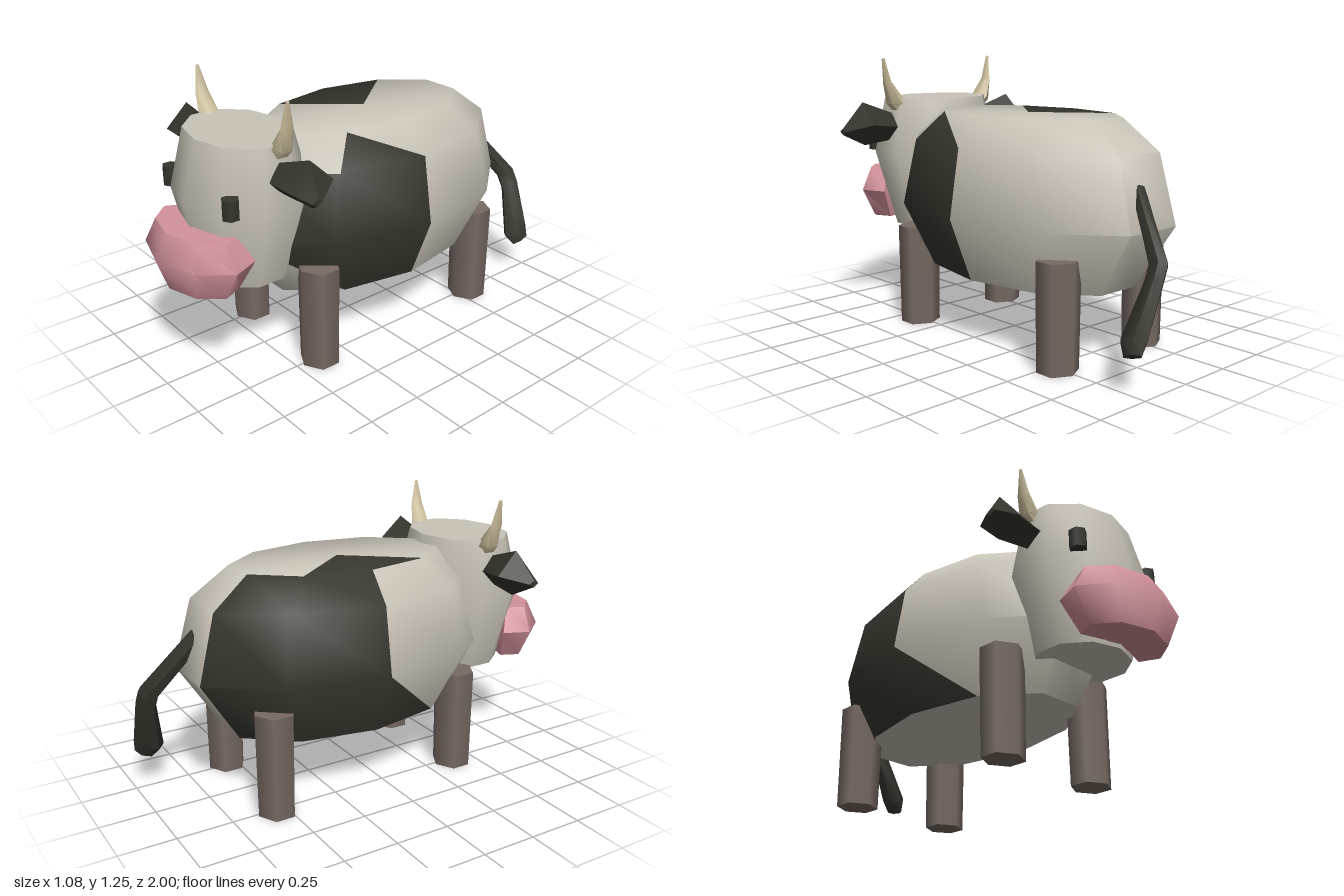
import * as THREE from 'three';
import { toCreasedNormals } from 'three/addons/utils/BufferGeometryUtils.js';

const material = (name, color) => {
  const m = new THREE.MeshStandardMaterial({ color });
  m.name = name;
  return m;
};

// Ring of n corners: centre c, cosine axis u, sine axis v (u x v points along the loft).
function ring(n, c, u, v, offset = 0) {
  return Array.from({ length: n }, (_, k) => {
    const a = offset + (k * 2 * Math.PI) / n;
    return c.map((p, i) => p + u[i] * Math.cos(a) + v[i] * Math.sin(a));
  });
}

// Horizontal ring, radii rx and rz.
const flatRing = (n, y, cz, rx, rz, offset = 0) =>
  ring(n, [0, y, cz], [0, 0, rz], [rx, 0, 0], offset);

const mirrored = rings => rings.map(r => r.map(([x, y, z]) => [-x, y, z]).reverse());

// Skin closed rings and cap both ends; triangles tagged in `painted` take the second material.
// Tags are band:column:half, or top:column for the upper cap.
function loft(rings, crease = 0.95, painted = null) {
  const n = rings[0].length, pos = rings.flat(), plain = [], patch = [];
  const add = (tag, ...tri) => (painted && painted.has(tag) ? patch : plain).push(...tri);
  const centre = r => [0, 1, 2].map(i => r.reduce((s, p) => s + p[i], 0) / n);
  const last = rings.length - 1, low = pos.length, high = low + 1;
  pos.push(centre(rings[0]), centre(rings[last]));
  for (let k = 0; k < n; k++) {
    const k2 = (k + 1) % n;
    for (let b = 0; b < last; b++) {
      const i = b * n + k, j = b * n + k2;
      add(`${b}:${k}:A`, i, j, i + n);
      add(`${b}:${k}:B`, j, j + n, i + n);
    }
    add(`bottom:${k}`, k2, k, low);
    add(`top:${k}`, last * n + k, last * n + k2, high);
  }
  const g = new THREE.BufferGeometry();
  g.setAttribute('position', new THREE.Float32BufferAttribute(pos.flat(), 3));
  g.setIndex([...plain, ...patch]);
  if (painted) {
    g.addGroup(0, plain.length, 0);
    g.addGroup(plain.length, patch.length, 1);
  }
  return toCreasedNormals(g, crease);
}

export function createModel() {
  const model = new THREE.Group();
  model.name = 'cow';
  const hide = material('hide', 0xc9c4b7);
  const black = material('blackHide', 0x35362d);
  const pink = material('muzzlePink', 0xd3929b);
  const brown = material('legBrown', 0x776a63);
  const ivory = material('hornIvory', 0xcabc9a);
  const add = (name, geometry, mat) => {
    const mesh = new THREE.Mesh(geometry, mat);
    mesh.name = name;
    model.add(mesh);
    return mesh;
  };

  // Body: ten-sided barrel with one dark patch on each flank
  const patches = new Set([
    '0:9:A', '0:9:B', '0:8:B', '1:9:A', '1:9:B', '1:8:A', '1:8:B', '2:9:A',
    'top:4', 'top:5', '0:5:A',
  ]);
  for (const col of [3, 4])
    for (const band of [0, 1, 2])
      for (const half of 'AB') patches.add(`${band}:${col}:${half}`);
  const bodyLevels = [[0.305, 0.753], [0.59, 1], [0.89, 0.89], [1.02, 0.657]];
  const bodyRings = bodyLevels.map(([y, s]) =>
    flatRing(10, y, -0.09, 0.455 * s, 0.768 * s, Math.PI / 2));
  add('body', loft(bodyRings, 0.95, patches), [hide, black]);

  // Head
  const headLevels = [[0.43, 0.215, 0.2], [0.8, 0.326, 0.275], [1.06, 0.275, 0.205]];
  add('head', loft(headLevels.map(([y, rx, rz]) => flatRing(10, y, 0.585, rx, rz))), hide);

  // Muzzle: bean-shaped plan swept over three heights
  const half = [[0.2, 0.94], [0.3, 0.81], [0.25, 0.69], [0.1, 0.74]];
  const plan = [[0, 1], ...half, [0, 0.75], ...half.map(([x, z]) => [-x, z]).reverse()];
  const muzzleLevels = [[0.447, 0.74, 0.7], [0.587, 1, 1], [0.695, 0.8, 0.66]];
  const muzzleRings = muzzleLevels.map(([y, sx, sz]) =>
    plan.map(([x, z]) => [x * sx, y, 0.84 + (z - 0.84) * sz]));
  add('muzzle', loft(muzzleRings, 1.0), pink);

  // Ears: four-sided, widest near the tip
  const ear = [
    ring(4, [0.23, 0.92, 0.58], [0, 0.055, 0], [0, 0, 0.05]),
    [[0.45, 1.05, 0.56], [0.43, 0.93, 0.645], [0.45, 0.85, 0.55], [0.46, 0.95, 0.455]],
    ring(4, [0.538, 0.915, 0.595], [0, 0.015, 0], [0, 0, 0.025]),
  ];
  // Horns: curve out, then straight up to a point
  const horn = [
    [0.21, 1.0, 0.56, 0.045, 0.05], [0.27, 1.05, 0.555, 0.035, 0.048],
    [0.308, 1.135, 0.56, 0.014, 0.032], [0.325, 1.25, 0.565, 0.006, 0.008],
  ].map(([x, y, z, rx, rz]) => ring(6, [x, y, z], [0, 0, rz], [rx, -rx * 0.5, 0]));

  for (const [side, sx] of [['left', 1], ['right', -1]]) {
    const place = rings => (sx > 0 ? rings : mirrored(rings));
    add(side + 'Ear', loft(place(ear), 0.6), black);
    add(side + 'Horn', loft(place(horn), 1.0), ivory);
    const eye = add(side + 'Eye', new THREE.CylinderGeometry(0.038, 0.038, 0.085, 6), black);
    eye.position.set(sx * 0.228, 0.836, 0.78);

    // Legs: hexagonal posts
    for (const [end, z] of [['Front', 0.385], ['Hind', -0.55]]) {
      const leg = add(side + end + 'Leg',
        new THREE.CylinderGeometry(0.091, 0.086, 0.47, 6), brown);
      leg.scale.x = 1.1;
      leg.position.set(sx * 0.265, 0.235, z);
    }
  }

  // Tail: hangs back, kinks at the middle and ends in a tuft
  const tail = [
    [0.02, 0.76, -0.75, 0.035, 0.03], [0.13, 0.5, -0.95, 0.035, 0.045],
    [0.16, 0.44, -0.955, 0.035, 0.045], [0.24, 0.22, -0.93, 0.045, 0.068],
    [0.265, 0.165, -0.945, 0.03, 0.045],
  ].map(([x, y, z, rx, rz]) => ring(6, [x, y, z], [0, rz * 0.35, -rz], [rx, rx * 0.5, 0]));
  add('tail', loft(tail, 1.0), black);

  return model;
}
